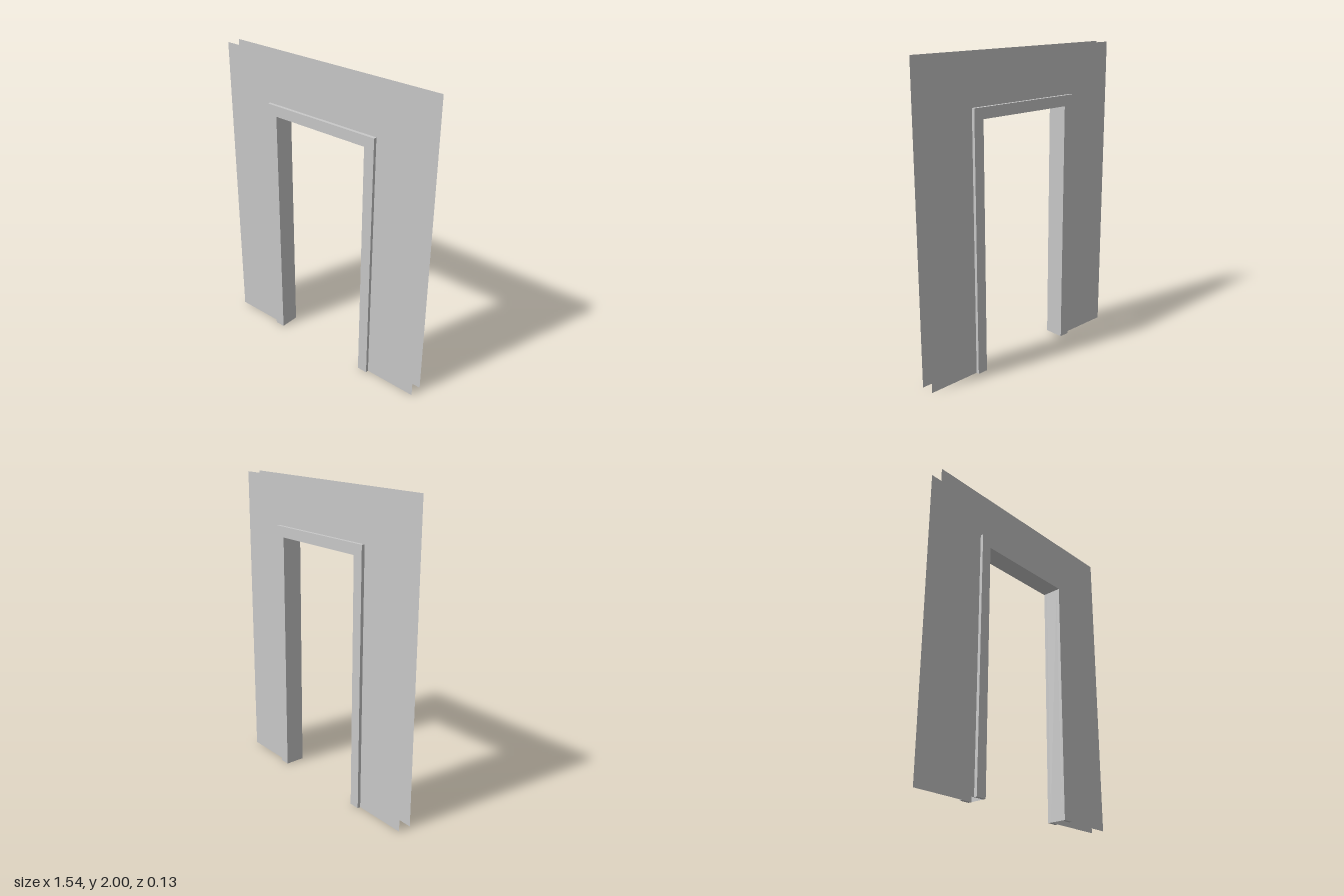
import * as THREE from 'three';

const WALL_X = 0.77, WALL_TOP = 2;
const TRIM_X = 0.415, TRIM_TOP = 1.687;
const DOOR_X = 0.346, DOOR_TOP = 1.617;
const WALL_Z = 0.045, TRIM_Z = 0.066;

// Upside-down U: an outer rectangle with a doorway cut up from the floor
function archShape(x, top) {
  const points = [
    [-x, 0], [-DOOR_X, 0], [-DOOR_X, DOOR_TOP], [DOOR_X, DOOR_TOP],
    [DOOR_X, 0], [x, 0], [x, top], [-x, top],
  ];
  return new THREE.Shape(points.map(([px, py]) => new THREE.Vector2(px, py)));
}

export function createModel() {
  const model = new THREE.Group();
  model.name = 'doorway';
  const grey = new THREE.MeshStandardMaterial({ color: 0xc8c8c8, side: THREE.DoubleSide });
  grey.name = 'light grey';

  const add = (name, geometry, x = 0, y = 0, z = 0) => {
    const mesh = new THREE.Mesh(geometry, grey);
    mesh.name = name;
    mesh.position.set(x, y, z);
    model.add(mesh);
    return mesh;
  };

  // Wall sheets and raised door casings, one pair on each face
  const wall = new THREE.ShapeGeometry(archShape(WALL_X, WALL_TOP));
  const casing = new THREE.ExtrudeGeometry(archShape(TRIM_X, TRIM_TOP), {
    depth: TRIM_Z - WALL_Z, bevelEnabled: false,
  });
  for (const [side, sign, turn] of [['front', 1, 0], ['back', -1, Math.PI]]) {
    add(side + 'Wall', wall, 0, 0, sign * WALL_Z).rotation.y = turn;
    add(side + 'Casing', casing, 0, 0, sign * WALL_Z).rotation.y = turn;
  }

  // Thin lining of the opening, joining the two walls
  const jamb = new THREE.PlaneGeometry(2 * WALL_Z, DOOR_TOP);
  add('leftJamb', jamb, DOOR_X, DOOR_TOP / 2).rotation.y = -Math.PI / 2;
  add('rightJamb', jamb, -DOOR_X, DOOR_TOP / 2).rotation.y = Math.PI / 2;
  add('headLining', new THREE.PlaneGeometry(2 * DOOR_X, 2 * WALL_Z), 0, DOOR_TOP)
    .rotation.x = Math.PI / 2;

  return model;
}
